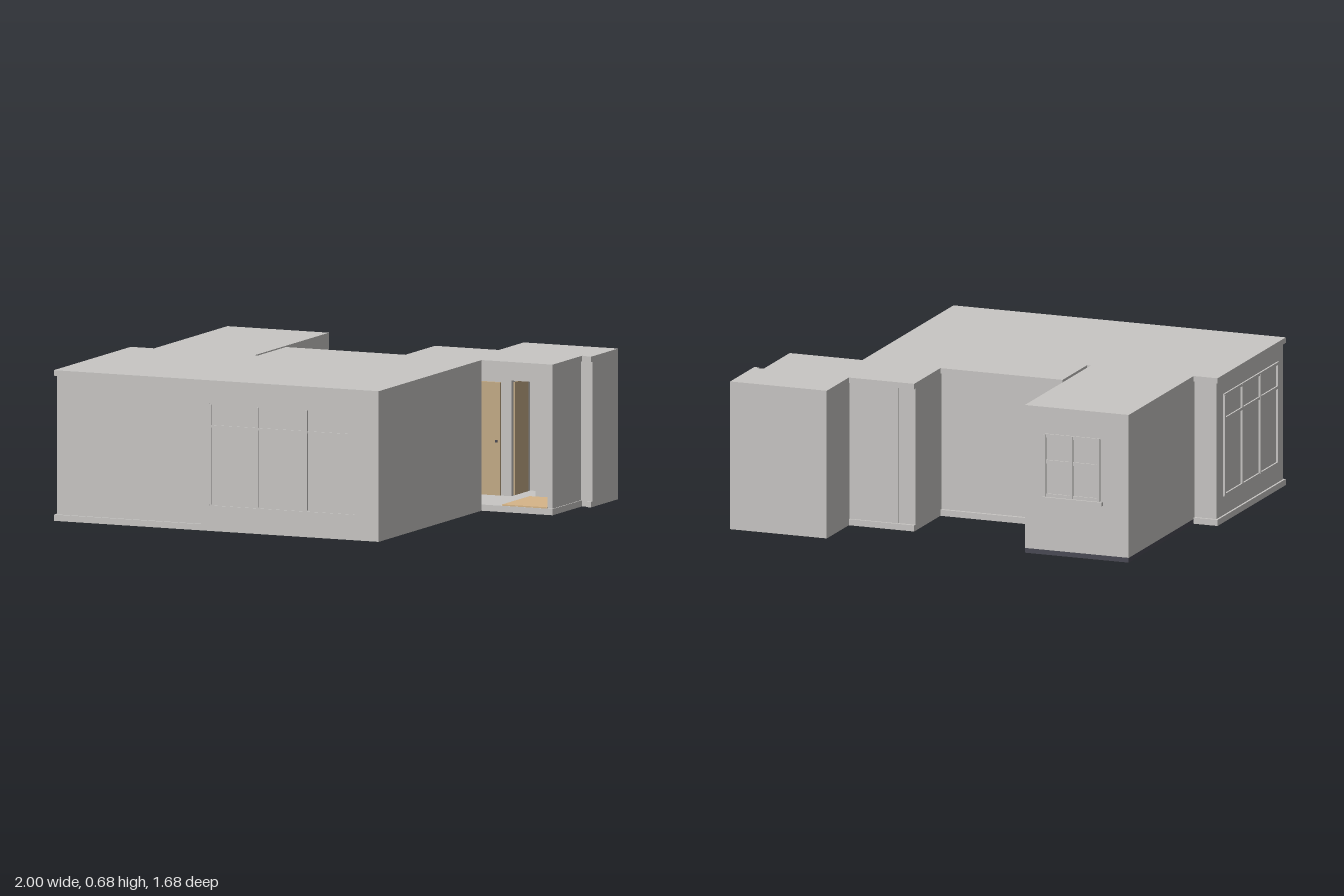
import * as THREE from 'three';

const material = (name, color) => {
  const m = new THREE.MeshStandardMaterial({ color });
  m.name = name;
  return m;
};

export function createModel() {
  const model = new THREE.Group();
  model.name = 'house';
  const plaster = material('grey plaster', 0xc8c6c4);
  const wood = material('door wood', 0xc4ab86);
  const tan = material('tan mat', 0xd6b588);
  const slate = material('dark slate', 0x4a4a54);

  const add = (name, geometry, mat) => {
    const mesh = new THREE.Mesh(geometry, mat);
    mesh.name = name;
    model.add(mesh);
    return mesh;
  };
  // Box given by its limits on each axis
  const box = (name, x0, x1, y0, y1, z0, z1, mat = plaster) => {
    const g = new THREE.BoxGeometry(x1 - x0, y1 - y0, z1 - z0);
    g.translate((x0 + x1) / 2, (y0 + y1) / 2, (z0 + z1) / 2);
    return add(name, g, mat);
  };
  // Floor plan of [x, z] corners raised from y0 to y1
  const plan = (name, corners, y0, y1) => {
    const shape = new THREE.Shape(corners.map(([x, z]) => new THREE.Vector2(x, -z)));
    const g = new THREE.ExtrudeGeometry(shape, { depth: y1 - y0, bevelEnabled: false });
    g.rotateX(-Math.PI / 2).translate(0, y0, 0);
    return add(name, g, plaster);
  };

  // Floor and roof slabs; the roof leaves a narrow slit beside the wing
  const slab = (slitX) => [
    [-1, 0.84], [0.6, 0.84], [0.6, -0.255], [0.95, -0.255], [0.95, -0.57], [0.535, -0.57],
    [0.535, -0.58], [0.22, -0.58], [0.22, -0.265], [slitX, -0.265], [slitX, 0.03],
    [-0.885, 0.03], [-0.885, 0.02], [-1, 0.02],
  ];
  plan('floorSlab', slab(-0.385), 0, 0.028);
  plan('roofSlab', slab(-0.368), 0.655, 0.68);

  // Walls of the main room, set back between the slabs
  plan('mainWalls', [
    [-0.99, 0.828], [0.6, 0.828], [0.6, -0.255], [0.3, -0.255], [0.3, -0.565], [0.22, -0.565],
    [0.22, -0.25], [-0.368, -0.25], [-0.368, 0.032], [-0.99, 0.032],
  ], 0.028, 0.655);

  // Flush front wall with a window opening
  const front = new THREE.Shape([[-0.27, 0.028], [0.6, 0.028], [0.6, 0.655], [-0.27, 0.655]]
    .map(([x, y]) => new THREE.Vector2(x, y)));
  front.holes.push(new THREE.Path([[-0.235, 0.115], [-0.235, 0.575], [0.482, 0.575], [0.482, 0.115]]
    .map(([x, y]) => new THREE.Vector2(x, y))));
  const frontGeometry = new THREE.ExtrudeGeometry(front, { depth: 0.012, bevelEnabled: false });
  add('frontWall', frontGeometry.translate(0, 0, 0.828), plaster);
  box('frontWindowPane', -0.235, 0.482, 0.115, 0.575, 0.828, 0.834);
  for (const x of [-0.23, 0.003, 0.243, 0.476])
    box('frontMullion', x - 0.005, x + 0.005, 0.12, 0.572, 0.83, 0.84);
  box('frontTransom', -0.23, 0.476, 0.468, 0.478, 0.83, 0.839);

  // Window on the right-hand side wall
  for (const z of [0.115, 0.328, 0.542, 0.755])
    box('sideMullion', -0.999, -0.985, 0.12, 0.58, z - 0.006, z + 0.006);
  for (const y of [0.12, 0.47, 0.58])
    box('sideRail', -0.998, -0.985, y - 0.006, y + 0.006, 0.11, 0.76);

  // Rear wing on its dark base
  box('wingBase', -0.885, -0.385, 0, 0.022, -0.76, 0.03, slate);
  box('wing', -0.885, -0.385, 0.022, 0.68, -0.76, 0.03);
  for (const x of [-0.74, -0.61, -0.48])
    box('wingMullion', x - 0.008, x + 0.008, 0.27, 0.555, -0.767, -0.755);
  for (const y of [0.275, 0.43, 0.55])
    box('wingRail', -0.745, -0.475, y - 0.008, y + 0.008, -0.766, -0.755);
  box('wingSill', -0.76, -0.475, 0.25, 0.268, -0.775, -0.755);

  // Low hatch frame on the inner side of the wing
  for (const z of [-0.73, -0.574])
    box('hatchPost', -0.39, -0.379, 0.022, 0.24, z, z + 0.004);
  box('hatchTop', -0.39, -0.379, 0.236, 0.24, -0.73, -0.57);

  // Entrance hall, open at the front, with a doorway in its back wall
  box('hallWallLeft', 0.92, 0.945, 0.028, 0.655, -0.57, -0.265);
  box('hallBack', 0.3, 0.61, 0.028, 0.655, -0.57, -0.55);
  box('hallBack', 0.73, 0.92, 0.028, 0.655, -0.57, -0.55);
  box('hallLintel', 0.61, 0.73, 0.55, 0.655, -0.57, -0.55);
  box('hallDoor', 0.434, 0.56, 0.03, 0.54, -0.55, -0.535, wood);
  box('doorKnob', 0.54, 0.55, 0.27, 0.28, -0.535, -0.525, slate);
  box('hallMat', 0.7, 0.92, 0.028, 0.034, -0.55, -0.258, tan);

  // Back room with a pocket behind the doorway and its open door
  box('backRoomFloor', 0.535, 1, 0, 0.028, -0.845, -0.57);
  plan('backRoomWalls', [
    [0.535, -0.57], [0.61, -0.57], [0.61, -0.75], [0.73, -0.75], [0.73, -0.57],
    [1, -0.57], [1, -0.845], [0.535, -0.845],
  ], 0.028, 0.55);
  box('backRoomTop', 0.535, 1, 0.55, 0.68, -0.845, -0.57);
  box('openDoor', 0.609, 0.617, 0.03, 0.54, -0.72, -0.575, wood);
  for (const y of [0, 0.655])
    box('cornerTrim', 0.975, 1, y, y + 0.025, -0.57, -0.555);

  return model;
}
